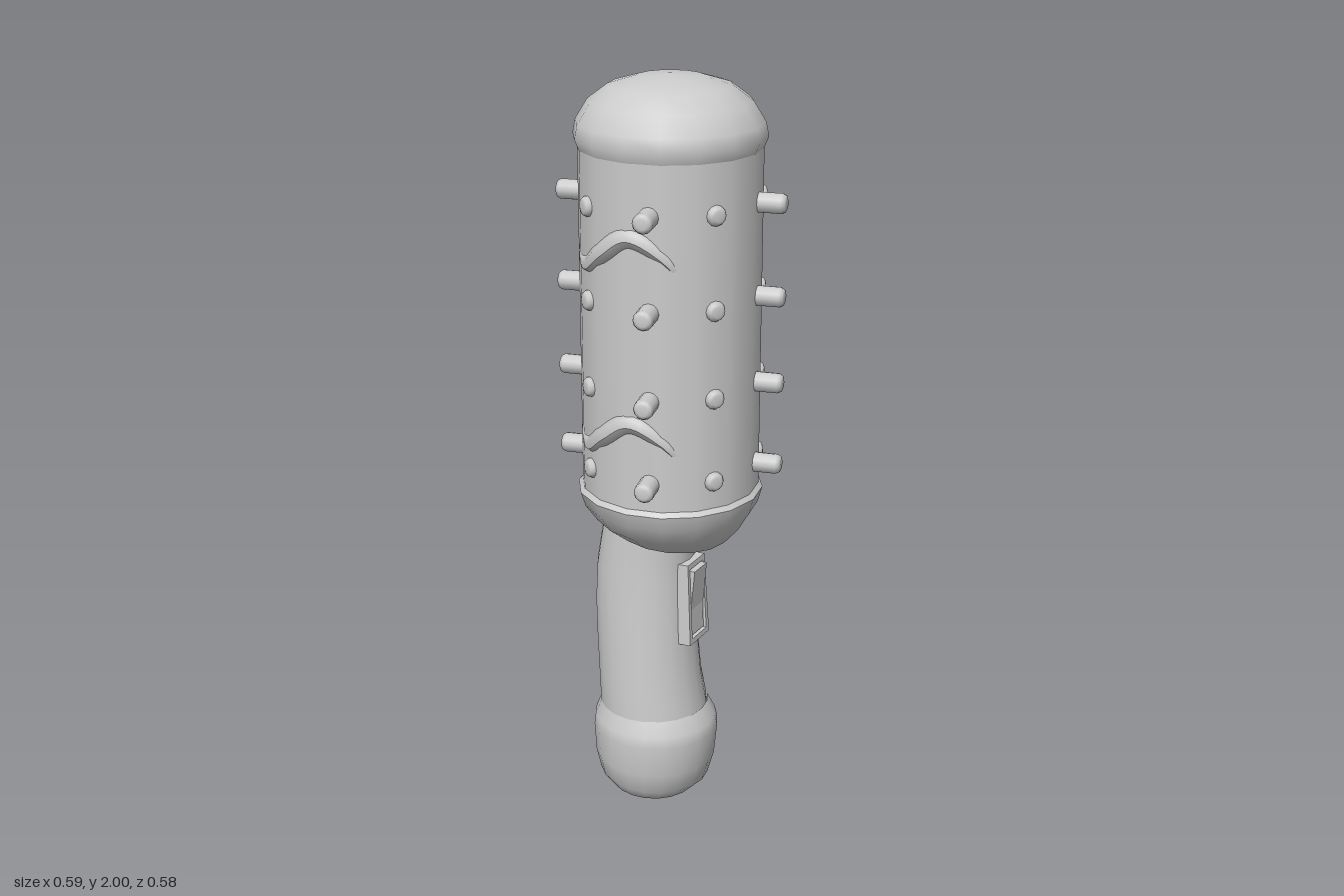
import * as THREE from 'three';

const mat = new THREE.MeshStandardMaterial({ color: 0xcccccc });
const AXIS_X = -0.008; // barrel axis
const SIDES = 16;
const rad = THREE.MathUtils.degToRad;
const v2 = (list) => list.map(([x, y]) => new THREE.Vector2(x, y));

function add(parent, name, geometry) {
  const mesh = new THREE.Mesh(geometry, mat);
  mesh.name = name;
  parent.add(mesh);
  return mesh;
}

// Skin through elliptical rings [centreX, y, radiusX, radiusZ, tilt], bottom to top
function loft(rings, n) {
  const pos = [], index = [];
  for (const [cx, y, rx, rz, tilt = 0] of rings) {
    for (let i = 0; i < n; i++) {
      const a = (i / n) * Math.PI * 2;
      pos.push(cx + rx * Math.sin(a), y + tilt * Math.sin(a), rz * Math.cos(a));
    }
  }
  for (let r = 0; r < rings.length - 1; r++) {
    for (let i = 0; i < n; i++) {
      const j = (i + 1) % n, a = r * n + i, b = r * n + j;
      index.push(a, b, b + n, a, b + n, a + n);
    }
  }
  const g = new THREE.BufferGeometry();
  g.setAttribute('position', new THREE.Float32BufferAttribute(pos, 3));
  g.setIndex(index);
  g.computeVertexNormals();
  return g;
}

// Raised wave wrapped round the barrel, thick in the middle and tapering to its ends
function waveGeometry(shift, y, side) {
  const points = [[55, -0.055], [66, 0], [88, 0.045], [108, 0], [127, -0.048], [139, -0.03], [148, 0.01]]
    .map(([deg, dy]) => {
      const a = rad(deg + shift);
      return new THREE.Vector3(0.217 * Math.cos(a), y + dy, side * 0.217 * Math.sin(a));
    });
  const curve = new THREE.CatmullRomCurve3(points);
  const steps = 28, ring = 8;
  const g = new THREE.TubeGeometry(curve, steps, 1, ring);
  const p = g.attributes.position, v = new THREE.Vector3();
  for (let i = 0; i < p.count; i++) {
    const u = Math.floor(i / (ring + 1)) / steps;
    const c = curve.getPointAt(u);
    const r = 0.029 * Math.pow(Math.max(0, Math.sin(Math.PI * u)), 0.55);
    v.fromBufferAttribute(p, i).sub(c).multiplyScalar(r).add(c);
    p.setXYZ(i, v.x, v.y, v.z);
  }
  g.computeVertexNormals();
  return g;
}

export function createModel() {
  const model = new THREE.Group();

  // Barrel: body with a domed cap and a rounded cup below
  const barrel = new THREE.Group();
  barrel.name = 'barrel';
  barrel.position.x = AXIS_X;
  model.add(barrel);
  add(barrel, 'barrelBody', new THREE.LatheGeometry(v2([[0.232, 0.9], [0.232, 1.86]]), SIDES));
  add(barrel, 'barrelDome', new THREE.LatheGeometry(v2([
    [0.231, 1.82], [0.243, 1.85], [0.236, 1.885], [0.205, 1.935], [0.155, 1.972], [0.085, 1.993], [0, 2],
  ]), SIDES));
  add(barrel, 'barrelCupRim', new THREE.LatheGeometry(v2([[0.243, 0.925], [0.229, 0.94]]), SIDES));
  add(barrel, 'barrelCup', loft([
    [0.03, 0.776, 0.001, 0.001], [0.025, 0.778, 0.09, 0.09, -0.008], [0.01, 0.795, 0.15, 0.15, -0.01],
    [0, 0.838, 0.2, 0.2, -0.008], [0, 0.885, 0.231, 0.231, -0.003], [0, 0.925, 0.243, 0.243],
  ], SIDES));

  // Pegs: four long and four nearly flush round each of four rows
  const pegs = new THREE.Group();
  pegs.name = 'pegs';
  barrel.add(pegs);
  const pegGeometry = (tip) => new THREE.LatheGeometry(v2([
    [0.026, 0.18], [0.026, tip - 0.012], [0.021, tip - 0.003], [0.013, tip], [0, tip],
  ]), 12);
  const longPeg = pegGeometry(0.298), shortPeg = pegGeometry(0.243);
  const kinds = [
    ['longPeg', longPeg, [75, -75, -12, 168]],
    ['shortPeg', shortPeg, [33, -33, 124, -124]],
  ];
  for (const y of [1.01, 1.23, 1.457, 1.695]) {
    for (const [name, geometry, angles] of kinds) {
      for (const deg of angles) {
        const peg = add(pegs, name, geometry);
        peg.position.y = y;
        peg.rotation.set(0, -rad(deg), -Math.PI / 2);
      }
    }
  }

  // Raised waves, two on the front and two on the back
  for (const y of [1.12, 1.595]) {
    add(barrel, 'frontWave', waveGeometry(0, y, 1));
    add(barrel, 'backWave', waveGeometry(-17, y, -1));
  }

  // Curved handle
  add(model, 'handle', loft([
    [-0.055, 0.2, 0.145, 0.15], [-0.06, 0.28, 0.146, 0.147], [-0.07, 0.36, 0.14, 0.142],
    [-0.078, 0.47, 0.139, 0.135], [-0.083, 0.58, 0.139, 0.128], [-0.083, 0.68, 0.135, 0.121],
    [-0.075, 0.77, 0.128, 0.116], [-0.062, 0.86, 0.122, 0.112],
  ], 20));

  // Rounded pommel
  add(model, 'pommel', loft([
    [-0.065, 0.005, 0.001, 0.001], [-0.065, 0.006, 0.07, 0.075, -0.004], [-0.062, 0.022, 0.117, 0.122, -0.006],
    [-0.058, 0.06, 0.15, 0.152, -0.008], [-0.055, 0.12, 0.165, 0.167, -0.004], [-0.053, 0.205, 0.172, 0.172],
    [-0.055, 0.235, 0.167, 0.165], [-0.058, 0.275, 0.147, 0.148],
  ], 20));

  // Rocker switch: frame and a wedge standing proud at its top
  const rocker = new THREE.Group();
  rocker.name = 'switch';
  rocker.position.set(0.062, 0.603, 0);
  rocker.rotation.z = rad(3);
  model.add(rocker);
  const frameShape = new THREE.Shape(v2([[-0.055, -0.115], [0.055, -0.115], [0.047, 0.115], [-0.047, 0.115]]));
  frameShape.holes.push(new THREE.Path(v2([[-0.04, -0.1], [-0.037, 0.1], [0.037, 0.1], [0.04, -0.1]])));
  const frame = add(rocker, 'switchFrame',
    new THREE.ExtrudeGeometry(frameShape, { depth: 0.05, bevelEnabled: false }));
  frame.rotation.y = Math.PI / 2;
  frame.position.x = -0.036;
  const wedge = new THREE.Shape(v2([[-0.04, -0.095], [0.008, -0.095], [0.01, -0.02], [0.027, 0.095], [-0.04, 0.095]]));
  const button = add(rocker, 'switchButton',
    new THREE.ExtrudeGeometry(wedge, { depth: 0.07, bevelEnabled: false }));
  button.position.z = -0.035;

  return model;
}
